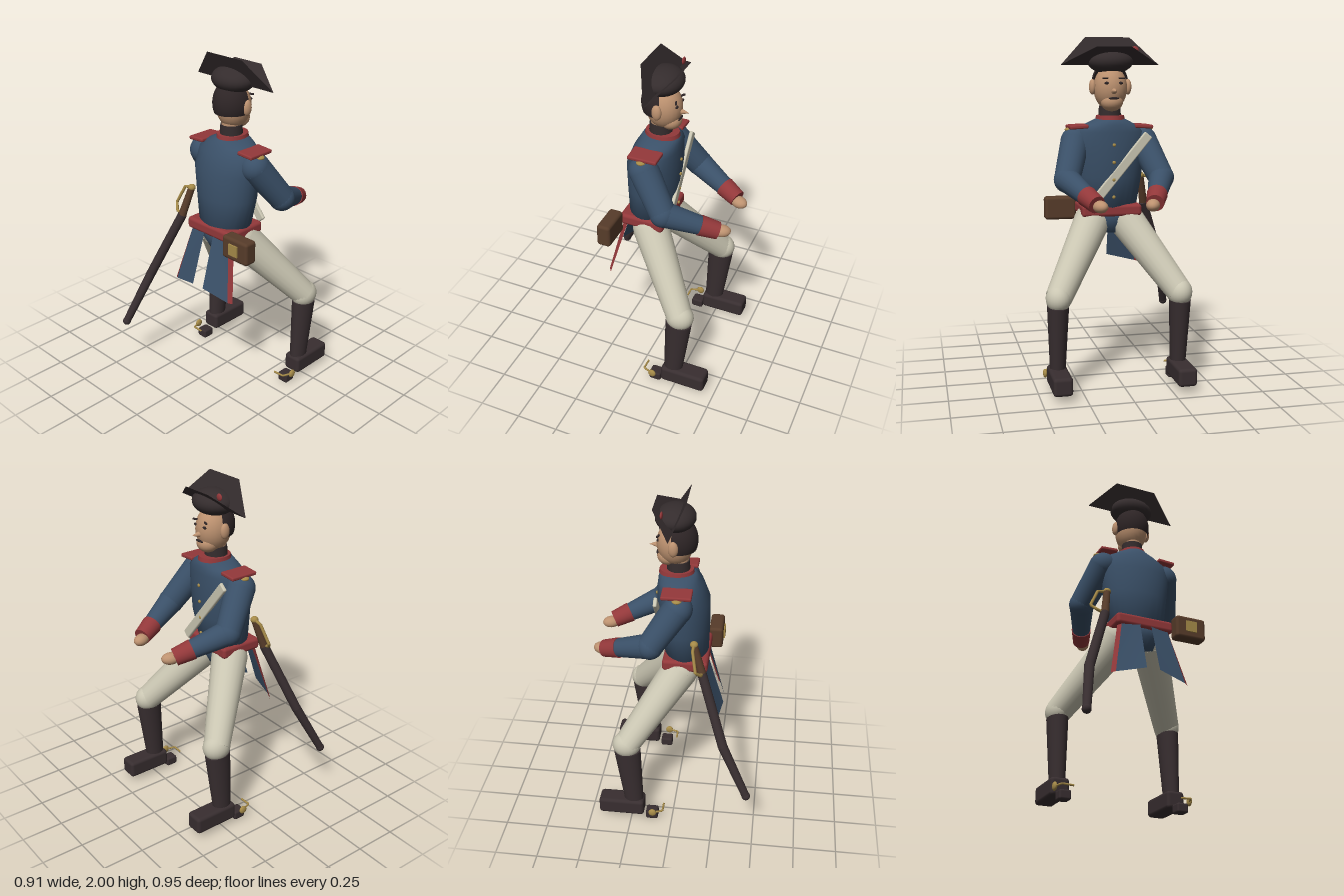
import * as THREE from 'three';
import { RoundedBoxGeometry } from 'three/addons/geometries/RoundedBoxGeometry.js';

const mat = (name, color, double) => {
  const m = new THREE.MeshStandardMaterial({ color });
  m.name = name;
  if (double) m.side = THREE.DoubleSide;
  return m;
};
const V = (p) => new THREE.Vector3(...p);

export function createModel() {
  const blue = mat('coat blue', 0x3a5068, true);
  const red = mat('facing red', 0x93383a, true);
  const cream = mat('breeches cream', 0xcac6b2);
  const black = mat('hat black', 0x342c2d, true);
  const boot = mat('boot leather', 0x382e30);
  const skin = mat('skin', 0xbd9270);
  const hairM = mat('hair', 0x2e2526, true);
  const brown = mat('pouch brown', 0x573c2a);
  const gold = mat('brass', 0xa58a48);

  const model = new THREE.Group();
  model.name = 'soldier';
  const body = new THREE.Group();
  body.name = 'body';
  body.position.x = 0.03;
  model.add(body);

  const add = (name, geo, m, pos = [0, 0, 0]) => {
    const mesh = new THREE.Mesh(geo, m);
    mesh.name = name;
    mesh.position.set(...pos);
    body.add(mesh);
    return mesh;
  };
  const box = (name, m, size, pos, r = 0.012) =>
    add(name, new RoundedBoxGeometry(...size, 2, r), m, pos);
  const ball = (name, m, pos, radii) => {
    const b = add(name, new THREE.SphereGeometry(1, 24, 16), m, pos);
    b.scale.set(...radii);
    return b;
  };
  // Tapered round bar from point a to point b
  const limb = (name, m, a, b, ra, rb) => {
    const dir = V(b).sub(V(a));
    const mesh = add(name, new THREE.CylinderGeometry(rb, ra, dir.length(), 20), m);
    mesh.position.copy(V(a).add(V(b)).multiplyScalar(0.5));
    mesh.quaternion.setFromUnitVectors(new THREE.Vector3(0, 1, 0), dir.normalize());
    return mesh;
  };
  // Bent wire through straight segments
  const wire = (name, m, pts, r) => {
    const path = new THREE.CurvePath();
    for (let i = 1; i < pts.length; i++) path.add(new THREE.LineCurve3(V(pts[i - 1]), V(pts[i])));
    return add(name, new THREE.TubeGeometry(path, 24, r, 8), m);
  };
  // Flat panel given by its outline corners
  const panel = (name, m, pts) => {
    const g = new THREE.BufferGeometry();
    g.setAttribute('position', new THREE.Float32BufferAttribute(pts.flat(), 3));
    const idx = [];
    for (let i = 1; i < pts.length - 1; i++) idx.push(0, i, i + 1);
    g.setIndex(idx);
    g.computeVertexNormals();
    return add(name, g, m);
  };
  // Stack of ellipses [y, rx, rz, centre z], capped at both ends
  const loft = (name, m, rings, n = 28) => {
    const pos = [], idx = [];
    const all = [[...rings[0]], ...rings, [...rings[rings.length - 1]]];
    all[0][1] = all[0][2] = all[all.length - 1][1] = all[all.length - 1][2] = 0.001;
    for (const [y, rx, rz, cz] of all)
      for (let i = 0; i < n; i++) {
        const a = (i / n) * Math.PI * 2;
        pos.push(Math.cos(a) * rx, y, cz + Math.sin(a) * rz);
      }
    for (let j = 0; j < all.length - 1; j++)
      for (let i = 0; i < n; i++) {
        const a = j * n + i, b = j * n + (i + 1) % n;
        idx.push(a, a + n, b, b, a + n, b + n);
      }
    const g = new THREE.BufferGeometry();
    g.setAttribute('position', new THREE.Float32BufferAttribute(pos, 3));
    g.setIndex(idx);
    g.computeVertexNormals();
    return add(name, g, m);
  };

  // Coat and belt
  loft('coatBody', blue, [
    [1.0, 0.165, 0.125, 0.05], [1.2, 0.195, 0.148, 0.033], [1.36, 0.215, 0.15, 0.03],
    [1.46, 0.205, 0.13, 0.01], [1.5, 0.155, 0.115, 0], [1.535, 0.085, 0.1, -0.005],
  ]);
  loft('coatSeat', blue, [[0.87, 0.1, 0.085, 0.05], [0.93, 0.14, 0.115, 0.05], [1.0, 0.16, 0.12, 0.05]]);
  box('belt', red, [0.355, 0.07, 0.265], [0, 1.005, 0.052], 0.02);
  for (let i = 0; i < 4; i++)
    ball('button', gold, [0, 1.09 + i * 0.1, -0.113 - 0.004 * i], [0.01, 0.01, 0.007]);

  // Cross belt from right shoulder to left hip
  const strap = box('crossBelt', cream, [0.055, 0.55, 0.022], [-0.03, 1.235, -0.108], 0.008);
  strap.rotation.z = 0.695;

  // Collar, neck and head
  const collar = add('collar', new THREE.CylinderGeometry(0.08, 0.084, 0.024, 24), red, [0, 1.543, -0.012]);
  collar.scale.z = 1.2;
  add('neck', new THREE.CylinderGeometry(0.055, 0.055, 0.12, 20), skin, [0, 1.6, 0]);
  add('neckStock', new THREE.CylinderGeometry(0.062, 0.066, 0.06, 20), black, [0, 1.578, -0.002]);
  ball('head', skin, [0, 1.71, -0.02], [0.096, 0.128, 0.104]);
  ball('jaw', skin, [0, 1.632, -0.06], [0.064, 0.054, 0.062]);
  const hair = add('hair',
    new THREE.SphereGeometry(1, 28, 16, -0.22, Math.PI + 0.44, 0, Math.PI * 0.63), hairM, [0, 1.73, -0.008]);
  hair.scale.set(0.106, 0.135, 0.114);
  const nose = add('nose', new THREE.ConeGeometry(0.02, 0.055, 12), skin, [0, 1.693, -0.138]);
  nose.rotation.x = -Math.PI / 2;
  ball('moustache', hairM, [0, 1.653, -0.117], [0.032, 0.007, 0.007]);

  // Hat: round crown between two turned-up brims
  ball('hatCrown', black, [0, 1.862, -0.018], [0.133, 0.073, 0.113]);
  panel('hatBackBrim', black, [[-0.287, 1.84, -0.025], [0.287, 1.84, -0.025], [0.13, 2, 0.055], [-0.13, 2, 0.055]]);
  panel('hatFrontBrim', black,
    [[0.287, 1.84, -0.025], [-0.287, 1.84, -0.025], [-0.1, 1.94, -0.132], [0.1, 1.94, -0.132]]);
  ball('cockade', red, [-0.13, 1.925, -0.078], [0.022, 0.02, 0.008]);

  for (const s of [-1, 1]) {
    const P = (x, y, z) => [s * x, y, z];

    // Face and ears
    ball('ear', skin, P(0.104, 1.717, -0.02), [0.02, 0.045, 0.028]);
    ball('eye', hairM, P(0.04, 1.738, -0.111), [0.014, 0.008, 0.007]);
    const brow = box('eyebrow', hairM, [0.046, 0.01, 0.012], P(0.042, 1.765, -0.106), 0.004);
    brow.rotation.y = s * 0.4;

    // Epaulettes
    const ep = box('epaulette', red, [0.108, 0.022, 0.17], P(0.19, 1.491, 0.01), 0.008);
    ep.rotation.z = -s * 0.06;
    ball('epauletteFringe', gold, P(0.225, 1.473, 0.015), [0.036, 0.014, 0.03]);

    // Arms
    const shoulder = P(0.2, 1.405, 0.015), elbow = P(0.275, 1.2, -0.13);
    const wrist = P(0.183, 1.112, -0.36);
    ball('shoulder', blue, shoulder, [0.085, 0.085, 0.085]);
    limb('upperArm', blue, shoulder, elbow, 0.085, 0.074);
    ball('elbow', blue, elbow, [0.075, 0.075, 0.075]);
    limb('forearm', blue, elbow, wrist, 0.073, 0.05);
    limb('cuff', red, P(0.2, 1.128, -0.318), P(0.162, 1.092, -0.412), 0.059, 0.05);
    const hand = ball('hand', skin, P(0.146, 1.083, -0.428), [0.038, 0.034, 0.052]);
    hand.rotation.y = s * 0.35;

    // Coat tails with red turnback
    panel('coatTail', blue,
      [P(0.035, 1.0, 0.178), P(0.14, 1.0, 0.165), P(0.212, 0.64, 0.243), P(0.04, 0.68, 0.275)]);
    panel('tailTurnback', red,
      [P(0.14, 1.0, 0.165), P(0.155, 1.0, 0.135), P(0.235, 0.635, 0.226), P(0.212, 0.64, 0.243)]);

    // Legs
    const hip = P(0.1, 0.94, 0.02), knee = P(0.352, 0.552, -0.268);
    ball('hip', cream, hip, [0.105, 0.105, 0.105]);
    limb('thigh', cream, hip, knee, 0.107, 0.076);
    ball('knee', cream, knee, [0.072, 0.08, 0.084]);
    const shaft = limb('bootShaft', boot, P(0.355, 0.09, -0.23), P(0.355, 0.508, -0.264), 0.055, 0.079);
    shaft.scale.x = 0.78;

    // Feet and spurs
    box('foot', boot, [0.11, 0.105, 0.275], P(0.356, 0.092, -0.307), 0.02);
    box('heel', boot, [0.07, 0.056, 0.074], P(0.356, 0.028, -0.123), 0.012);
    wire('spur', gold, [P(0.322, 0.072, -0.055), P(0.39, 0.075, -0.055), P(0.41, 0.072, -0.115)], 0.006);
    ball('spurKnob', gold, P(0.41, 0.072, -0.115), [0.013, 0.025, 0.024]);
  }

  // Sabre at the right hip
  const hilt = [-0.213, 1.19, 0.11], throat = [-0.245, 1.02, 0.16], bend = [-0.39, 0.62, 0.3], tip = [-0.46, 0.318, 0.45];
  limb('sabreGrip', brown, throat, hilt, 0.024, 0.02);
  ball('sabrePommel', gold, hilt, [0.023, 0.02, 0.023]);
  wire('sabreGuard', gold,
    [hilt, [-0.27, 1.18, 0.108], [-0.322, 1.07, 0.13], [-0.29, 1.035, 0.158], throat], 0.009);
  limb('scabbardUpper', boot, throat, bend, 0.027, 0.028);
  ball('scabbardBend', boot, bend, [0.028, 0.028, 0.028]);
  limb('scabbardLower', boot, bend, tip, 0.028, 0.023);
  ball('scabbardTip', boot, tip, [0.025, 0.025, 0.025]);

  // Cartridge pouch at the left hip
  box('pouch', brown, [0.188, 0.137, 0.083], [0.262, 0.994, 0.204], 0.018);
  add('pouchPlate', new THREE.BoxGeometry(0.066, 0.066, 0.009), gold, [0.26, 0.997, 0.251]);

  return model;
}
